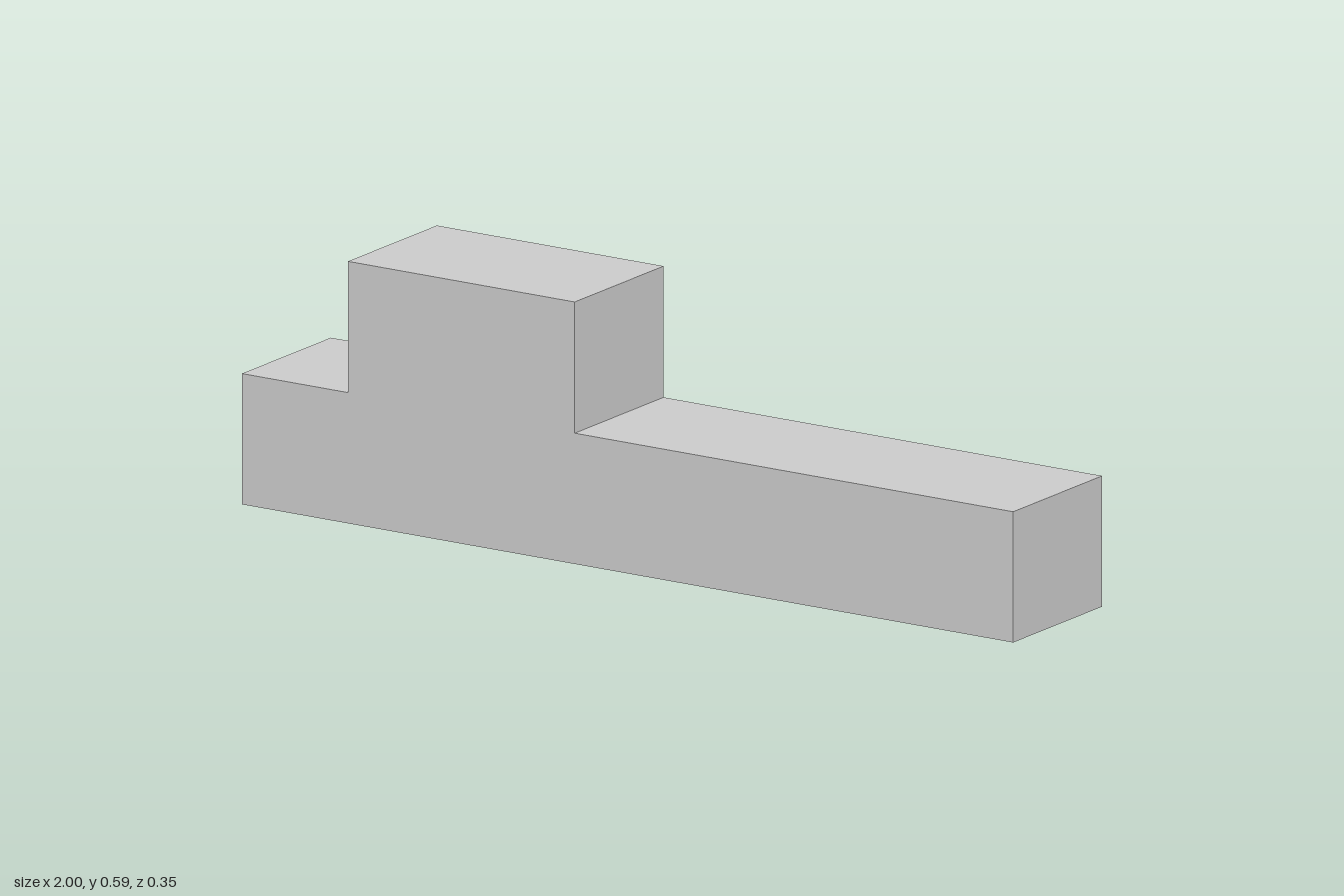
import * as THREE from 'three';

const DEPTH = 0.346;
const STEP = 0.293; // top of the long body
const TOP = 0.587;  // top of the raised block

export function createModel() {
  const group = new THREE.Group();
  group.name = 'steppedBlock';

  // Side outline: long low body with a raised block near one end
  const outline = new THREE.Shape([
    [-1, 0], [1, 0], [1, STEP], [-0.137, STEP],
    [-0.137, TOP], [-0.725, TOP], [-0.725, STEP], [-1, STEP],
  ].map(([x, y]) => new THREE.Vector2(x, y)));

  // One solid piece, centred in depth
  const geometry = new THREE.ExtrudeGeometry(outline, { depth: DEPTH, bevelEnabled: false });
  geometry.translate(0, 0, -DEPTH / 2);

  const body = new THREE.Mesh(
    geometry,
    new THREE.MeshStandardMaterial({ color: 0xcccccc, flatShading: true }),
  );
  body.name = 'bodyWithRaisedBlock';
  group.add(body);
  return group;
}
